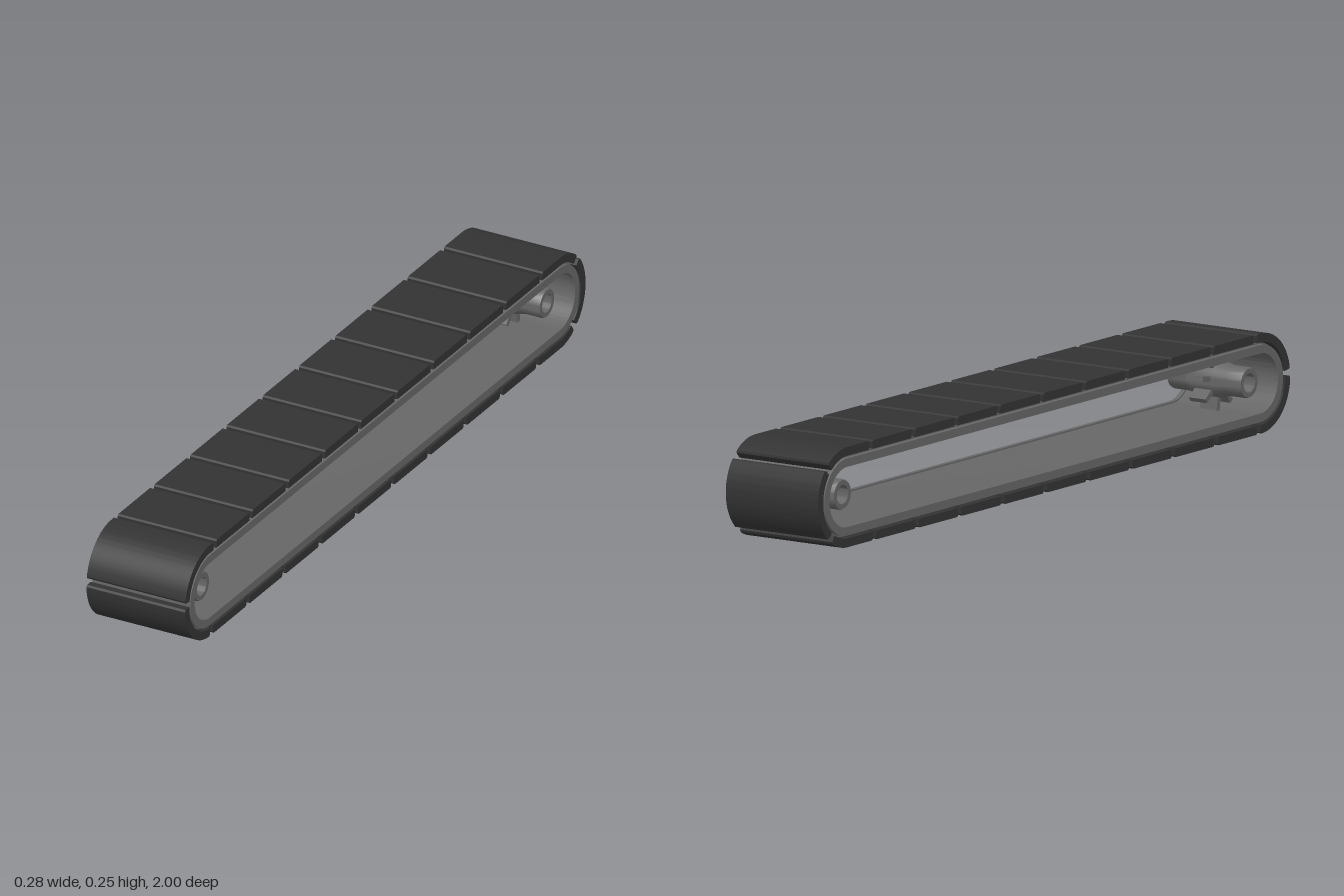
import * as THREE from 'three';
import { toCreasedNormals } from 'three/addons/utils/BufferGeometryUtils.js';

const HALF = 0.875;      // half the distance between the two wheel axes
const AXIS_Y = 0.125;
const PITCH_R = 0.105;   // radius along which the plates are spaced
const PLATES = 23;
const LENGTH = 4 * HALF + 2 * Math.PI * PITCH_R;

const dark = new THREE.MeshStandardMaterial({ color: 0x333333 });
const grey = new THREE.MeshStandardMaterial({ color: 0x666666 });

// Point (z, y) at distance s round the loop, at a given radius from the axes.
// s = 0 is the middle of the front end, rising over the top to the back.
function loopPoint(s, radius) {
  const q = Math.PI * PITCH_R / 2, straight = 2 * HALF;
  s = ((s % LENGTH) + LENGTH) % LENGTH;
  let z, angle;
  if (s < q) { z = HALF; angle = s / PITCH_R; }
  else if (s < q + straight) { z = HALF - (s - q); angle = Math.PI / 2; }
  else if (s < 3 * q + straight) { z = -HALF; angle = (s - straight) / PITCH_R; }
  else if (s < 3 * q + 2 * straight) { z = -HALF + (s - 3 * q - straight); angle = 1.5 * Math.PI; }
  else { z = HALF; angle = (s - 2 * straight) / PITCH_R; }
  return new THREE.Vector2(z + radius * Math.cos(angle), AXIS_Y + radius * Math.sin(angle));
}

// Extrude a side outline (z, y) across the width
function across(shape, width) {
  const geo = new THREE.ExtrudeGeometry(shape, { depth: width, bevelEnabled: false, curveSegments: 24 });
  geo.translate(0, 0, -width / 2).rotateY(-Math.PI / 2);
  return toCreasedNormals(geo, 0.5);
}

function stadium(radius, PathType) {
  const p = new PathType();
  p.moveTo(-HALF, AXIS_Y - radius);
  p.lineTo(HALF, AXIS_Y - radius);
  p.absarc(HALF, AXIS_Y, radius, -Math.PI / 2, Math.PI / 2, false);
  p.lineTo(-HALF, AXIS_Y + radius);
  p.absarc(-HALF, AXIS_Y, radius, Math.PI / 2, 1.5 * Math.PI, false);
  return p;
}

function band(outer, inner, width) {
  const shape = stadium(outer, THREE.Shape);
  shape.holes.push(stadium(inner, THREE.Path));
  return across(shape, width);
}

// One tread plate with chamfered outer edges, bent to the loop
function plateGeometry(s0, s1) {
  const steps = 28, chamfer = 0.004, pts = [];
  pts.push(loopPoint(s0, 0.121));
  for (let i = 0; i <= steps; i++)
    pts.push(loopPoint(THREE.MathUtils.lerp(s0 + chamfer, s1 - chamfer, i / steps), 0.125));
  pts.push(loopPoint(s1, 0.121));
  for (let i = steps; i >= 0; i--)
    pts.push(loopPoint(THREE.MathUtils.lerp(s0, s1, i / steps), 0.103));
  return across(new THREE.Shape(pts), 0.276);
}

function makeWheel() {
  const wheel = new THREE.Group();
  // Hollow hub, thicker in the middle
  const profile = [
    [0.024, -0.11], [0.036, -0.11], [0.038, -0.105], [0.038, -0.06], [0.045, -0.03],
    [0.045, 0.03], [0.038, 0.06], [0.038, 0.105], [0.036, 0.11], [0.024, 0.11], [0.024, -0.11],
  ].map(([r, x]) => new THREE.Vector2(r, x));
  const hubGeo = new THREE.LatheGeometry(profile, 32).rotateZ(-Math.PI / 2);
  const hub = new THREE.Mesh(toCreasedNormals(hubGeo, 0.5), grey);
  hub.name = 'hub';
  wheel.add(hub);
  // Drive teeth round the middle of the hub
  const toothGeo = new THREE.BoxGeometry(0.05, 0.038, 0.013).translate(0, 0.058, 0);
  for (let i = 0; i < 8; i++) {
    const tooth = new THREE.Mesh(toothGeo, grey);
    tooth.name = 'driveTooth';
    tooth.rotation.x = i * Math.PI / 4 + 0.15;
    wheel.add(tooth);
  }
  return wheel;
}

export function createModel() {
  const model = new THREE.Group();
  model.name = 'trackUnit';

  // Inner belt with a raised lip along each side
  const belt = new THREE.Mesh(band(0.1, 0.079, 0.25), grey);
  belt.name = 'belt';
  model.add(belt);
  const lipGeo = band(0.096, 0.075, 0.012);
  for (const side of [-1, 1]) {
    const lip = new THREE.Mesh(lipGeo, grey);
    lip.name = side > 0 ? 'leftBeltLip' : 'rightBeltLip';
    lip.position.x = side * 0.131;
    model.add(lip);
  }

  // Tread plates
  const plates = new THREE.Group();
  plates.name = 'treadPlates';
  const pitch = LENGTH / PLATES, start = 0.008, gap = 0.0075;
  for (let i = 0; i < PLATES; i++) {
    const s = start + i * pitch;
    const plate = new THREE.Mesh(plateGeometry(s + gap, s + pitch - gap), dark);
    plate.name = 'treadPlate';
    plates.add(plate);
  }
  model.add(plates);

  // Sprocket wheels at both ends
  for (const [name, z] of [['frontWheel', 0.866], ['backWheel', -0.857]]) {
    const wheel = makeWheel();
    wheel.name = name;
    wheel.position.set(0, AXIS_Y, z);
    model.add(wheel);
  }
  return model;
}
